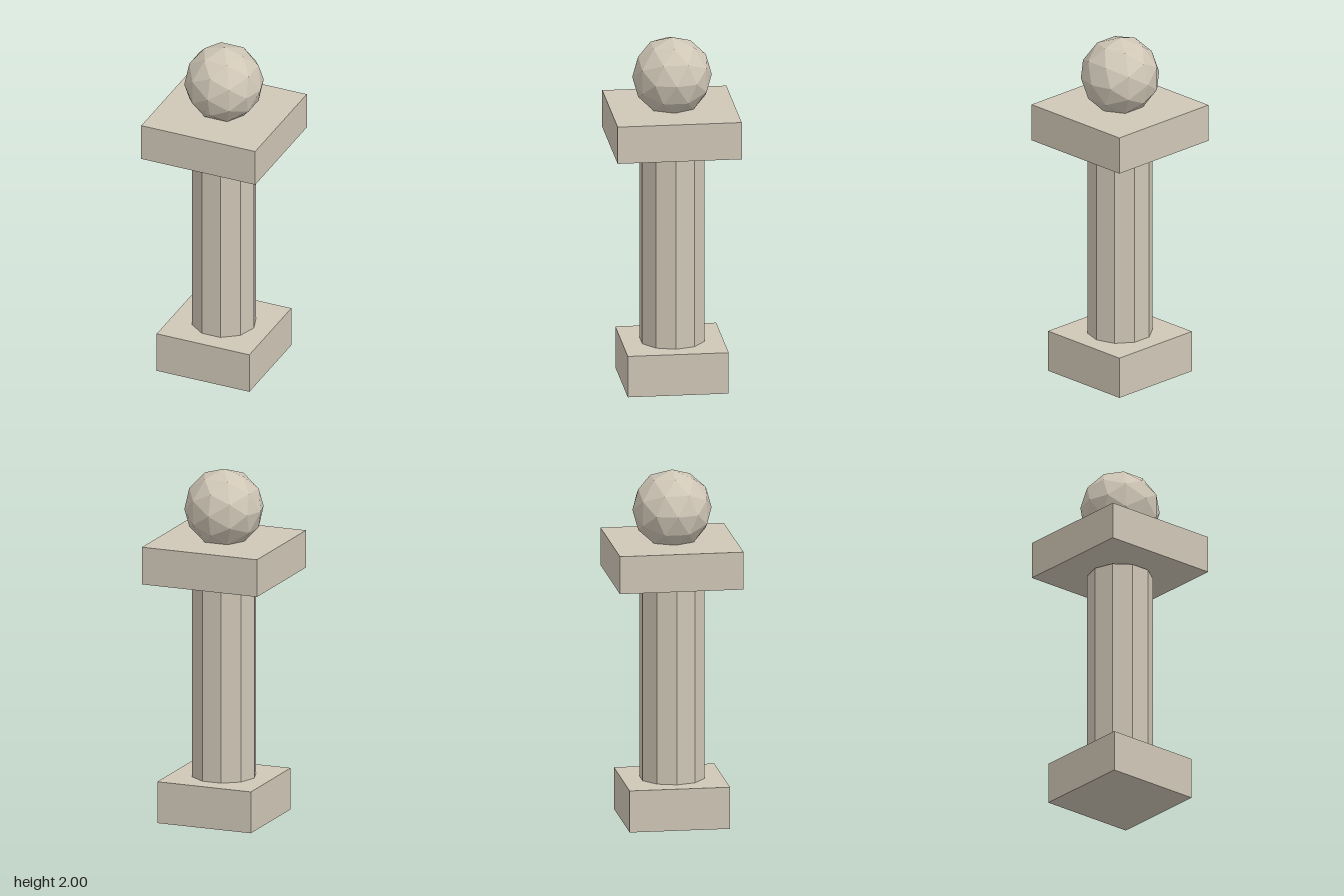
import * as THREE from 'three';

export function createModel() {
  const model = new THREE.Group();
  model.name = 'ballToppedPillar';

  const stone = new THREE.MeshStandardMaterial({ color: 0xcfc6b6 });
  stone.name = 'pale stone';
  stone.flatShading = true;

  const add = (name, geometry, y) => {
    const mesh = new THREE.Mesh(geometry, stone);
    mesh.name = name;
    mesh.position.y = y;
    model.add(mesh);
    return mesh;
  };

  // Square slab spanning two heights
  const slab = (name, width, bottom, top) =>
    add(name, new THREE.BoxGeometry(width, top - bottom, width), (bottom + top) / 2);

  slab('base', 0.566, 0, 0.238);
  slab('capital', 0.696, 1.383, 1.597);

  // Ten-sided shaft with corners on the x axis, ending just short of the capital
  const bottom = 0.23, top = 1.369;
  const shaft = add('shaft', new THREE.CylinderGeometry(0.183, 0.183, top - bottom, 10), (bottom + top) / 2);
  shaft.rotation.y = Math.PI / 2;

  // Faceted ball, sunk slightly into the capital
  const radius = 0.223;
  add('ball', new THREE.IcosahedronGeometry(radius, 1), 2 - radius);

  return model;
}
